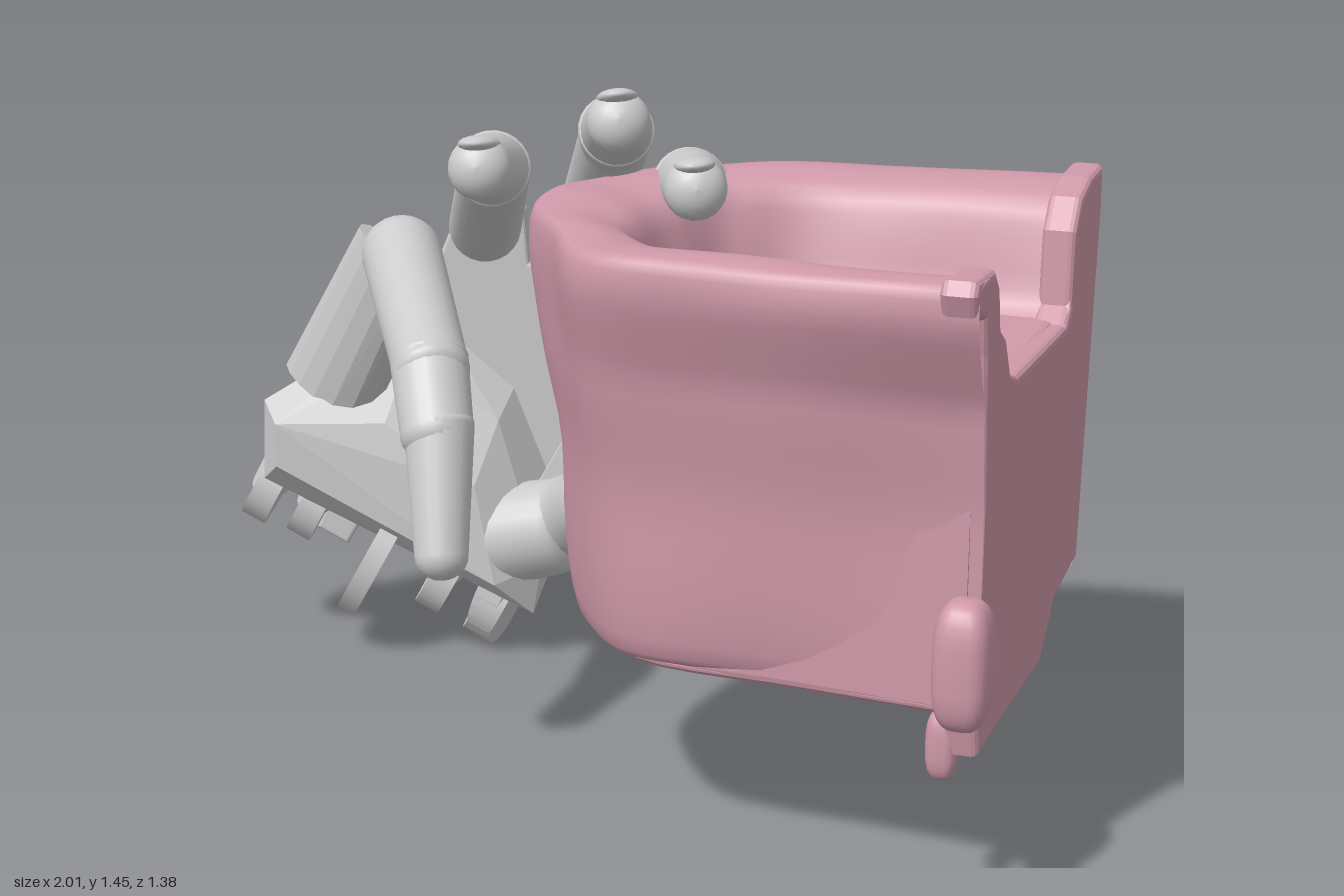
import * as THREE from 'three';
import { ConvexGeometry } from 'three/addons/geometries/ConvexGeometry.js';

const V = (x, y, z) => new THREE.Vector3(x, y, z);
const grey = new THREE.MeshStandardMaterial({ color: 0xcccccc, side: THREE.DoubleSide });
const flatGrey = new THREE.MeshStandardMaterial({ color: 0xcccccc, flatShading: true });
const pink = new THREE.MeshStandardMaterial({ color: 0xd09aaa, side: THREE.DoubleSide });

function add(parent, name, geometry, material) {
  const mesh = new THREE.Mesh(geometry, material);
  mesh.name = name;
  parent.add(mesh);
  return mesh;
}

function shapeOf(points) {
  return new THREE.Shape(points.map(([x, y]) => new THREE.Vector2(x, y)));
}

const softExtrude = (points, depth, bevel) => new THREE.ExtrudeGeometry(shapeOf(points), {
  depth, bevelEnabled: true, bevelThickness: bevel, bevelSize: bevel, bevelOffset: -bevel, bevelSegments: 3,
});

// Point a mesh's y axis from a towards b
function aim(mesh, a, b) {
  mesh.position.copy(a);
  mesh.quaternion.setFromUnitVectors(V(0, 1, 0), b.clone().sub(a).normalize());
  return mesh;
}

// Tapered limb with domed ends
function limb(parent, name, a, b, ra, rb, endA = 0.4, endB = 0.7) {
  const len = a.distanceTo(b), pts = [];
  for (let i = 0; i <= 6; i++) {
    const t = (i / 6) * Math.PI / 2;
    pts.push(new THREE.Vector2(ra * Math.sin(t), -ra * endA * Math.cos(t)));
  }
  for (let i = 0; i <= 6; i++) {
    const t = (i / 6) * Math.PI / 2;
    pts.push(new THREE.Vector2(rb * Math.cos(t), len + rb * endB * Math.sin(t)));
  }
  return aim(add(parent, name, new THREE.LatheGeometry(pts, 24), grey), a, b);
}

// Disc centred on c with its axis along the given direction
function disc(parent, name, c, axis, r, width) {
  return aim(add(parent, name, new THREE.CylinderGeometry(r, r, width, 32), grey), c, c.clone().add(axis));
}

// Jointed finger: long shaft, collar and fingertip with a nail plate
function finger(parent, name, base, mid, tip, r) {
  const g = new THREE.Group();
  g.name = name;
  parent.add(g);
  disc(g, 'knucklePin', base, V(0.85, -0.45, -0.2).normalize(), r * 0.55, r * 1.4);
  limb(g, 'fingerShaft', base.clone().lerp(mid, 0.05), mid, r, r * 0.9, 0.2, 0.3);
  const collar = mid.clone().lerp(tip, 0.12);
  limb(g, 'fingerJoint', mid.clone().lerp(base, 0.1), collar, r * 0.8, r * 0.97, 0.3, 0.3);
  const end = tip.clone().lerp(mid, 0.2);
  limb(g, 'fingertip', collar, end, r * 0.91, r * 0.78, 0.3, 0.85);
  // nail sits on the upper side of the tip
  const dir = tip.clone().sub(mid).normalize();
  const up = V(0, 1, 0.15).addScaledVector(dir, -V(0, 1, 0.15).dot(dir)).normalize();
  const nail = add(g, 'nail', new THREE.SphereGeometry(1, 16, 10), grey);
  nail.scale.set(r * 0.52, r * 0.85, r * 0.22);
  nail.quaternion.setFromRotationMatrix(new THREE.Matrix4().makeBasis(dir.clone().cross(up), dir, up));
  nail.position.copy(end).addScaledVector(up, r * 0.58);
}

function buildHand() {
  const hand = new THREE.Group();
  hand.name = 'hand';

  // Palm built in its own plane: x across, y up, z out from the back of the hand
  const palm = new THREE.Group();
  palm.name = 'palm';
  palm.rotation.y = 0.263;
  palm.position.z = -0.69;
  hand.add(palm);
  const L = (x, d = 0) => (x - 0.26 * d) / 0.965;
  const plate = [
    [-0.48, 0.09], [-0.38, 0.06], [-0.03, 0.8], [-0.02, 0.86], [-0.06, 0.9], [-0.11, 0.87],
    [-0.15, 0.8], [-0.19, 0.82], [-0.2, 0.94], [-0.23, 0.99], [-0.29, 0.97], [-0.34, 0.88], [-0.38, 0.9],
    [-0.39, 1.02], [-0.43, 1.07], [-0.5, 1.06], [-0.56, 0.96], [-0.67, 0.68], [-0.9, 0.58], [-0.96, 0.42], [-0.92, 0.36],
    [-0.86, 0.4], [-0.83, 0.35], [-0.87, 0.25], [-0.8, 0.21], [-0.75, 0.3], [-0.61, 0.23], [-0.63, 0.15], [-0.57, 0.12],
    [-0.53, 0.18], [-0.48, 0.15],
  ].map(([x, y]) => [L(x), y]);
  add(palm, 'palmBackPlate', softExtrude(plate, 0.05, 0.008), grey);
  const hull = [
    [-0.92, 0.44, 0.03], [-0.34, 0.13, 0.03], [-0.28, 0.3, 0.03], [-0.4, 0.62, 0.03], [-0.6, 0.8, 0.03], [-0.9, 0.58, 0.03],
    [-0.91, 0.41, 0.19], [-0.31, 0.1, 0.19], [-0.29, 0.22, 0.19], [-0.4, 0.55, 0.15], [-0.6, 0.7, 0.14], [-0.9, 0.6, 0.2],
    [-0.85, 0.46, 0.26], [-0.37, 0.19, 0.26], [-0.42, 0.42, 0.24], [-0.62, 0.56, 0.23], [-0.85, 0.56, 0.26],
  ].map(([x, y, d]) => V(L(x, d), y, d));
  add(palm, 'palmBody', new ConvexGeometry(hull), flatGrey);

  // Tapering side wall of the palm, rounded at the wrist and thin at the knuckle
  const hinge = V(0.85, -0.48, -0.22).normalize();
  const flange = [];
  for (const [c, r] of [[V(-0.43, 0.1, -0.488), 0.098], [V(-0.07, 0.83, -0.645), 0.03]])
    for (let i = 0; i < 24; i++) {
      const t = (i / 24) * Math.PI * 2;
      for (const w of [-0.03, 0.03])
        flange.push(c.clone().add(V(0.35 * r * Math.sin(t), r * Math.sin(t), r * Math.cos(t))).addScaledVector(hinge, w));
    }
  add(hand, 'palmSideWall', new ConvexGeometry(flange), flatGrey);

  // Wrist: lugs along the hinge line and a large centre disc
  for (const [x, y, z] of [[-0.44, 0.1, -0.488], [-0.55, 0.16, -0.46], [-0.84, 0.33, -0.38], [-0.94, 0.37, -0.35]]) {
    disc(hand, 'wristLug', V(x, y, z), hinge, 0.098, 0.06);
    const arm = limb(hand, 'wristLugArm', V(x, y, z), V(x + 0.08, y + 0.15, z), 0.08, 0.08);
    arm.scale.x = 0.5;
  }
  disc(hand, 'wristDisc', V(-0.69, 0.22, -0.4), hinge, 0.17, 0.045);

  // Three long fingers reaching over the chair back
  finger(hand, 'innerFinger', V(-0.46, 0.98, -0.5), V(-0.2, 1.24, 0.06), V(-0.14, 1.29, 0.3), 0.082);
  finger(hand, 'middleFinger', V(-0.25, 0.91, -0.57), V(0.02, 1.31, -0.06), V(0.1, 1.375, 0.14), 0.082);
  finger(hand, 'outerFinger', V(-0.1, 0.8, -0.62), V(0.14, 1.19, -0.18), V(0.25, 1.235, 0.1), 0.082);

  // Bent side finger: broad flat shaft, then a forward, drooping end
  const knee = V(-0.54, 0.975, -0.22);
  const bar = [];
  for (const [c, w, d] of [[V(-0.79, 0.6, -0.36), 0.125, 0.1], [V(-0.57, 0.97, -0.265), 0.105, 0.075]])
    for (let i = 0; i < 16; i++) {
      const t = (i + 0.5) * Math.PI / 8;
      bar.push(c.clone().addScaledVector(V(0.85, -0.5, -0.05), w * Math.cos(t)).add(V(0.25 * d * Math.sin(t), 0, d * Math.sin(t))));
    }
  add(hand, 'sideFingerShaft', new ConvexGeometry(bar), flatGrey);
  limb(hand, 'sideFingerMiddle', knee, V(-0.32, 0.81, 0.12), 0.088, 0.08, 0.9, 0.5);
  limb(hand, 'sideFingerJoint', V(-0.34, 0.83, 0.09), V(-0.28, 0.7, 0.19), 0.083, 0.077);
  limb(hand, 'sideFingertip', V(-0.28, 0.72, 0.18), V(-0.235, 0.47, 0.28), 0.074, 0.056, 0.5, 0.9);

  // Thumb supporting the chair from below
  limb(hand, 'thumbBase', V(-0.41, 0.27, -0.44), V(-0.26, 0.31, -0.44), 0.12, 0.11, 0.4, 0.5);
  const thumbPath = new THREE.CatmullRomCurve3([V(-0.34, 0.29, -0.45), V(-0.22, 0.345, -0.43), V(-0.1, 0.42, -0.34), V(0.08, 0.49, -0.21)]);
  add(hand, 'thumb', new THREE.TubeGeometry(thumbPath, 24, 0.095, 20), grey);
  limb(hand, 'thumbTip', V(0.05, 0.48, -0.24), V(0.12, 0.5, -0.18), 0.095, 0.08);
  return hand;
}

function buildChair() {
  const chair = new THREE.Group();
  chair.name = 'armchair';

  // Plan curves of the wrap-around arms and back, front arm first
  const outer = new THREE.CatmullRomCurve3([[0.955, 0.67], [0.55, 0.655], [0.2, 0.62], [0.06, 0.42], [-0.07, 0.2], [-0.06, 0],
    [0.06, -0.19], [0.2, -0.31], [0.5, -0.4], [0.95, -0.435]].map(([x, z]) => V(x, 0, z)));
  const inner = new THREE.CatmullRomCurve3([[0.955, 0.5], [0.62, 0.46], [0.33, 0.43], [0.23, 0.35], [0.2, 0.2], [0.21, 0.07],
    [0.25, -0.06], [0.33, -0.14], [0.55, -0.18], [0.95, -0.19]].map(([x, z]) => V(x, 0, z)));
  // Wall section: fraction from outer to inner edge, height
  const section = new THREE.CatmullRomCurve3([[0.6, 0.4], [0.38, 0.42], [0.3, 0.55], [0.27, 0.75], [0.13, 0.92], [0.06, 1.03], [0.01, 1.13],
    [0.03, 1.2], [0.2, 1.22], [0.6, 1.215], [0.88, 1.18], [1, 1.1], [1.12, 1.0], [1.4, 0.95]].map(([t, y]) => V(t, y, 0)));
  const N = 56, M = 40, pos = [], index = [];
  for (let i = 0; i <= N; i++) {
    const o = outer.getPoint(i / N), n = inner.getPoint(i / N);
    for (let j = 0; j <= M; j++) {
      const s = section.getPoint(j / M);
      // the front arm's outer face is tucked in under its roll
      const tuck = s.x < 0.6 ? 0.35 * Math.max(0, 1 - 3 * i / N) * THREE.MathUtils.clamp((1.15 - s.y) * 6, 0, 1) : 0;
      const p = o.clone().lerp(n, s.x + tuck);
      const sag = 0.003 * Math.sin(i * 0.7 + j * 0.3);
      pos.push(p.x, s.y + sag, p.z + sag);
      if (i < N && j < M) {
        const a = i * (M + 1) + j, b = a + M + 1;
        index.push(a, a + 1, b, b, a + 1, b + 1);
      }
    }
  }
  const wall = new THREE.BufferGeometry();
  wall.setAttribute('position', new THREE.Float32BufferAttribute(pos, 3));
  wall.setIndex(index);
  wall.computeVertexNormals();
  add(chair, 'armsAndBack', wall, pink);

  // Solid seat block filling the arms, closing the underside
  const plan = [];
  for (let i = 0; i <= 40; i++) {
    const p = outer.getPoint(i / 40).lerp(inner.getPoint(i / 40), 0.6);
    plan.push([Math.min(p.x, 0.93), -p.z]);
  }
  const seat = add(chair, 'seat', softExtrude(plan, 0.55, 0.02), pink);
  seat.rotation.x = -Math.PI / 2;
  seat.position.y = 0.405;

  // Front panel with the arm ends and the hanging skirt (drawn as z, y)
  const front = [[0.53, 0.3], [0.555, 0.42], [0.555, 0.8], [0.585, 1.08], [0.6, 1.15], [0.67, 1.17], [0.685, 1.21], [0.67, 1.235],
    [0.54, 1.23], [0.5, 1.19], [0.48, 1.11], [0.43, 1.08], [0.38, 1.0], [0.32, 0.98], [-0.12, 0.97], [-0.16, 1.0], [-0.17, 1.15],
    [-0.22, 1.21], [-0.31, 1.235], [-0.43, 1.24], [-0.435, 1.15], [-0.405, 0.9], [-0.37, 0.6], [-0.35, 0.41], [-0.13, 0.39],
    [-0.07, 0.34], [0, 0.29], [0.3, 0.3]].map(([z, y]) => [-z, y]);
  const panel = add(chair, 'frontPanel', softExtrude(front, 0.04, 0.015), pink);
  panel.rotation.y = Math.PI / 2;
  panel.position.x = 0.9;

  // Worn corner bulge and stubby feet: spheres squared off towards a soft block
  const blob = (name, p, s, power) => {
    const geometry = new THREE.SphereGeometry(1, 24, 16), a = geometry.attributes.position;
    const square = (v) => Math.sign(v) * Math.abs(v) ** power;
    for (let i = 0; i < a.count; i++) a.setXYZ(i, square(a.getX(i)), square(a.getY(i)), square(a.getZ(i)));
    geometry.computeVertexNormals();
    const m = add(chair, name, geometry, pink);
    m.position.set(...p);
    m.scale.set(...s);
  };
  blob('cornerBulge', [0.935, 0.505, 0.595], [0.055, 0.125, 0.062], 0.65);
  blob('frontFoot', [0.88, 0.31, 0.51], [0.03, 0.07, 0.03], 0.7);
  blob('backFoot', [0.15, 0.34, 0.11], [0.022, 0.08, 0.07], 0.6);
  blob('smallFoot', [0.26, 0.4, -0.2], [0.02, 0.035, 0.02], 0.8);
  return chair;
}

export function createModel() {
  const model = new THREE.Group();
  model.name = 'handHoldingArmchair';
  model.add(buildHand(), buildChair());
  return model;
}
